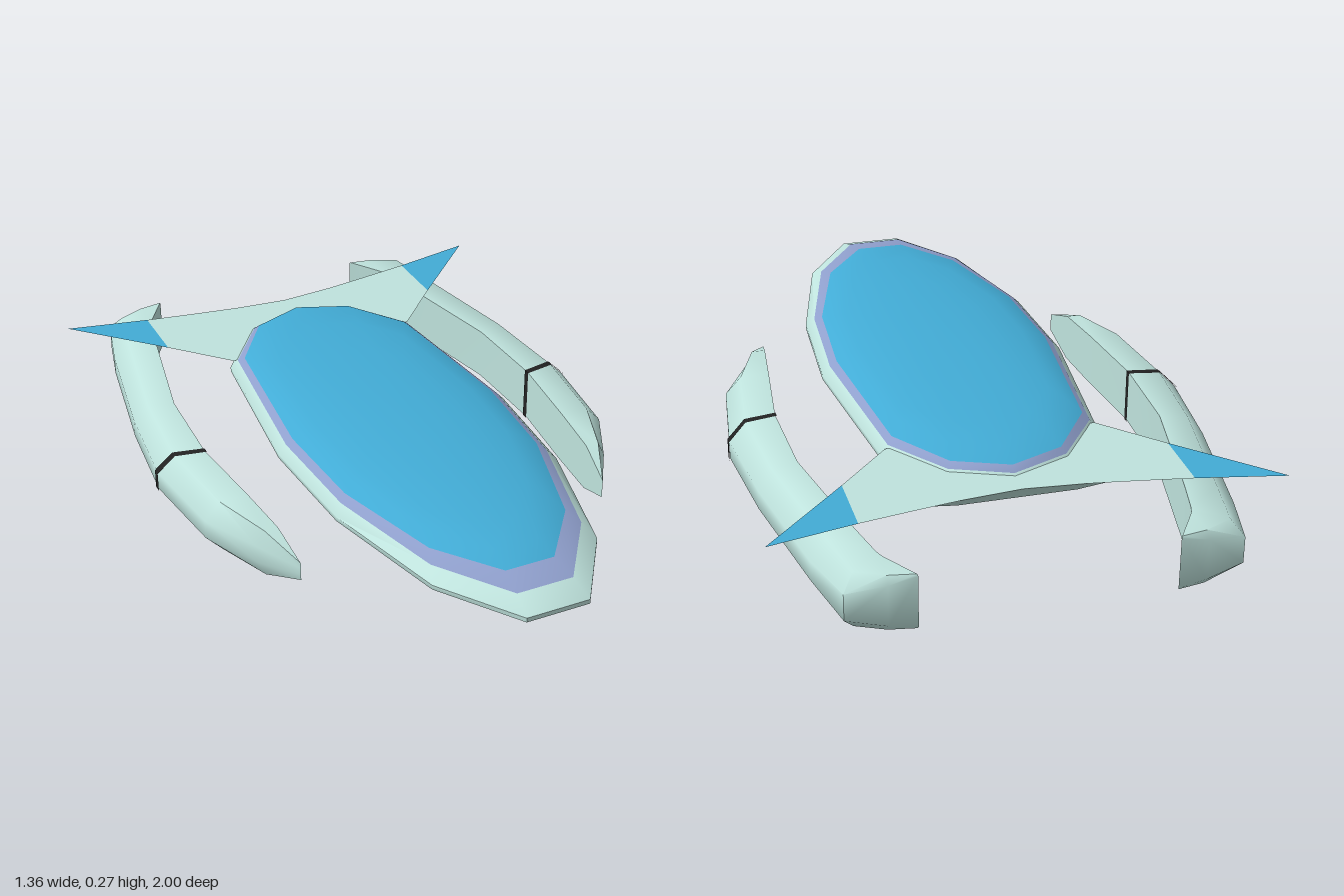
import * as THREE from 'three';
import { toCreasedNormals } from 'three/addons/utils/BufferGeometryUtils.js';

const mat = (color) => new THREE.MeshStandardMaterial({ color });
const shell = mat(0xbfe3dd), blue = mat(0x42acd6), trim = mat(0x8f9fcc), dark = mat(0x222222);

// Skin a list of closed rings of [x, y, z]; optional caps at both ends
function loft(name, rings, material, { flip = false, caps = false, crease = 0.9 } = {}) {
  const n = rings[0].length, pos = [];
  const tri = (a, b, c) => {
    const [p, q, r] = (flip ? [a, c, b] : [a, b, c]).map((v) => new THREE.Vector3(...v));
    const area = q.clone().sub(p).cross(r.clone().sub(p)).length();
    if (area > 1e-9) pos.push(...p, ...q, ...r);
  };
  for (let i = 0; i < rings.length - 1; i++) {
    for (let j = 0; j < n; j++) {
      const k = (j + 1) % n;
      tri(rings[i][j], rings[i][k], rings[i + 1][k]);
      tri(rings[i][j], rings[i + 1][k], rings[i + 1][j]);
    }
  }
  if (caps) {
    const first = rings[0], last = rings[rings.length - 1];
    for (let j = 1; j < n - 1; j++) {
      tri(first[0], first[j + 1], first[j]);
      tri(last[0], last[j], last[j + 1]);
    }
  }
  const geo = new THREE.BufferGeometry();
  geo.setAttribute('position', new THREE.Float32BufferAttribute(pos, 3));
  const mesh = new THREE.Mesh(toCreasedNormals(geo, crease), material);
  mesh.name = name;
  return mesh;
}

// Half outlines [x, z], nose to tail
const RIM = [[0.09, 1], [0.24, 0.78], [0.335, 0.4], [0.355, 0.05], [0.3, -0.46], [0.175, -0.64], [0, -0.71]];
const LIP = [[0.08, 0.93], [0.22, 0.73], [0.312, 0.38], [0.332, 0.05], [0.28, -0.45], [0.16, -0.615], [0, -0.68]];
const GLASS = [[0.07, 0.85], [0.2, 0.68], [0.292, 0.36], [0.312, 0.05], [0.265, -0.43], [0.15, -0.6], [0, -0.66]];

// Mirror a half outline to a full ring, scaled about the hull centre
function ring(half, y, s = 1) {
  const mirrored = half.slice(0, -1).reverse().map(([x, z]) => [-x, z]);
  return [...half, ...mirrored].map(([x, z]) => [x * s, y, 0.1 + (z - 0.1) * s]);
}

// Pod stations: inner [x, z], outer [x, z], height scale, chamfer amount
const POD = [
  [[0.46, 0.45], [0.46, 0.45], 0.35, 1],
  [[0.474, 0.33], [0.535, 0.33], 0.92, 1],
  [[0.492, 0.16], [0.62, 0.16], 1, 1],
  [[0.52, -0.1], [0.655, -0.125], 1, 1],
  [[0.51, -0.38], [0.625, -0.42], 1, 1],
  [[0.435, -0.76], [0.56, -0.8], 1, 1],
  [[0.41, -0.87], [0.515, -0.98], 1, 0.8],
  [[0.403, -0.89], [0.41, -1], 1, 0.4],
  [[0.398, -0.9], [0.335, -1], 1, 0.1],
];

// D-shaped section: flat inner wall, chamfered outer wall
function podRing([a, b, h, c], side) {
  const u = 1 - 0.36 * c, d = 0.0775, e = d - 0.05 * c;
  return [[0, -d], [u, -d], [1, -e], [1, e], [u, d], [0, d]].map(([t, y]) => [
    side * THREE.MathUtils.lerp(a[0], b[0], t), 0.0775 + y * h, THREE.MathUtils.lerp(a[1], b[1], t),
  ]);
}

// Tail fin stations: x, leading z, trailing z, keel z, keel y
const FIN = [
  [0, -0.46, -0.755, -0.71, 0.155],
  [0.16, -0.46, -0.77, -0.71, 0.155],
  [0.29, -0.46, -0.79, -0.69, 0.157],
  [0.44, -0.62, -0.815, -0.74, 0.183],
  [0.68, -0.865, -0.865, -0.865, 0.205],
];
const finRing = ([x, lead, trail, kz, ky], side) =>
  [[side * x, 0.205, lead], [side * x, 0.205, trail], [side * x, ky, kz]];

export function createModel() {
  const model = new THREE.Group();
  model.name = 'spacecraft';

  // Saucer-like hull, from keel up to the lip
  model.add(loft('hull', [
    ring(RIM, 0.08, 0), ring(RIM, 0.084, 0.25), ring(RIM, 0.092, 0.47), ring(RIM, 0.112, 0.74),
    ring(RIM, 0.143, 0.93), ring(RIM, 0.172), ring(RIM, 0.185), ring(LIP, 0.21),
  ], shell));

  // Canopy with its border
  model.add(loft('canopyTrim', [ring(LIP, 0.21), ring(GLASS, 0.224)], trim));
  model.add(loft('canopy', [
    ring(GLASS, 0.224), ring(GLASS, 0.24, 0.9), ring(GLASS, 0.252, 0.77),
    ring(GLASS, 0.264, 0.5), ring(GLASS, 0.269, 0.25), ring(GLASS, 0.27, 0),
  ], blue));

  for (const side of [1, -1]) {
    const label = side > 0 ? 'left' : 'right';
    const flip = side > 0;

    // Swept tail fin with coloured tip
    const fin = new THREE.Group();
    fin.name = label + 'TailFin';
    const rings = FIN.map((f) => finRing(f, side));
    fin.add(loft('finRoot', rings.slice(0, 4), shell, { flip, crease: 0.5 }));
    fin.add(loft('finTip', rings.slice(3), blue, { flip, crease: 0.5 }));
    model.add(fin);

    // Curved side pod with dark band
    const pod = new THREE.Group();
    pod.name = label + 'Pod';
    pod.add(loft('podBody', POD.map((p) => podRing(p, side)), shell, { flip, caps: true }));
    const band = [
      [[0.517, -0.09], [0.658, -0.115], 1.02, 1],
      [[0.517, -0.11], [0.658, -0.138], 1.02, 1],
    ];
    pod.add(loft('podBand', band.map((p) => podRing(p, side)), dark, { flip }));
    model.add(pod);
  }
  return model;
}
